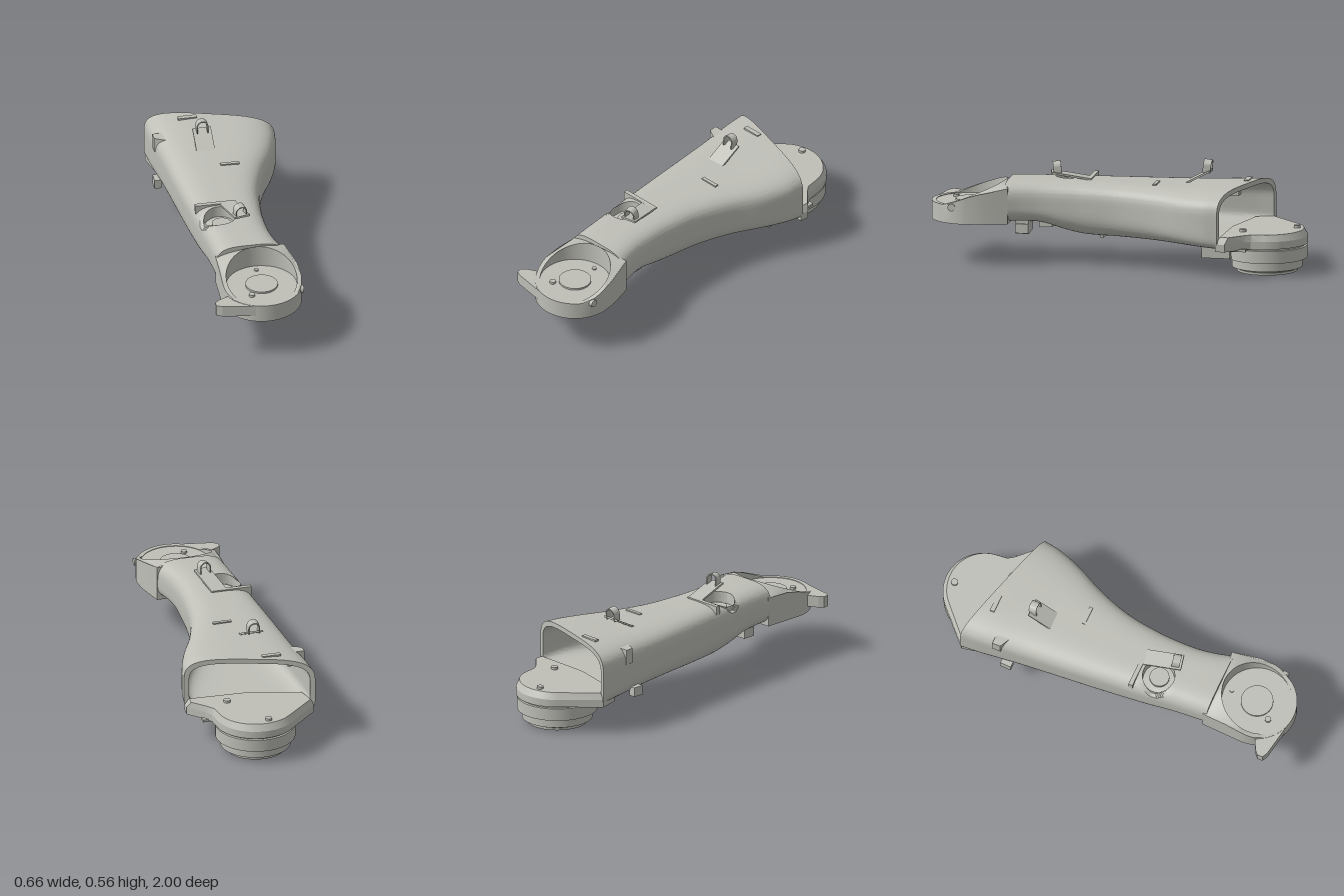
import * as THREE from 'three';
import { toCreasedNormals } from 'three/addons/utils/BufferGeometryUtils.js';

const grey = new THREE.MeshStandardMaterial({ color: 0xbfbfb8 });
grey.name = 'warmGrey';

const SOCKET_Z = 0.79, HUB_Z = -0.785;

// Arm stations: z, left x, right x, bottom y, top y, lower corner exponent
const stations = [
  [0.59, -0.205, 0.165, 0.22, 0.438, 3],
  [0.5, -0.213, 0.138, 0.22, 0.44, 3],
  [0.4, -0.222, 0.12, 0.212, 0.44, 3],
  [0.28, -0.235, 0.115, 0.175, 0.44, 3],
  [0.18, -0.245, 0.118, 0.155, 0.44, 3],
  [0, -0.262, 0.14, 0.153, 0.44, 3.5],
  [-0.2, -0.282, 0.198, 0.153, 0.442, 4],
  [-0.4, -0.303, 0.272, 0.153, 0.445, 5],
  [-0.58, -0.325, 0.32, 0.153, 0.452, 7],
  [-0.675, -0.33, 0.332, 0.153, 0.455, 9],
];

function station(z) {
  let i = 0;
  while (i < stations.length - 2 && z < stations[i + 1][0]) i++;
  const a = stations[i], b = stations[i + 1];
  const t = (a[0] - z) / (a[0] - b[0]);
  const p = stations[Math.max(i - 1, 0)], n = stations[Math.min(i + 2, stations.length - 1)];
  return a.map((v, k) => {
    const h = a[0] - b[0];
    const m0 = ((b[k] - p[k]) / (p[0] - b[0])) * h, m1 = ((n[k] - v) / (a[0] - n[0])) * h;
    const t2 = t * t, t3 = t2 * t;
    return (2 * t3 - 3 * t2 + 1) * v + (t3 - 2 * t2 + t) * m0 + (3 * t2 - 2 * t3) * b[k] + (t3 - t2) * m1;
  });
}

// Hollow arm: outer skin, slanted open rim and inner skin in one loft
function armGeometry() {
  const N = 128, pos = [], idx = [];
  let rings = 0;
  const ring = (z, inset, size = 1) => {
    const [, xl, xr, yb, yt, nb] = station(z);
    const cx = (xl + xr) / 2, hw = (xr - xl) / 2 - inset;
    const cy = 0.31, up = yt - cy - inset, down = cy - yb - inset * 1.8;
    const skew = THREE.MathUtils.smoothstep(-z, 0, 0.675) * 0.29;
    for (let j = 0; j < N; j++) {
      const a = (j / N) * Math.PI * 2, c = Math.cos(a), s = Math.sin(a), n = s > 0 ? 3.6 : nb;
      const r = size / Math.pow(Math.abs(c) ** n + Math.abs(s) ** n, 1 / n);
      let x = cx + hw * r * c, y = cy + (s > 0 ? up : down) * r * s, pz = z + skew * x;
      // Round recess beside the forward clip
      const dx = x + 0.125, dz = pz - 0.28, d = Math.hypot(dx, dz), R = 0.085;
      if (!inset && size === 1 && s > 0.5 && d < R * 1.22 && d > 0.001) {
        if (d < R) y -= 0.06;
        if (d > R * 0.78) {
          const k = (d < R ? R * 0.97 : R) / d;
          x = -0.125 + dx * k;
          pz = 0.28 + dz * k;
        }
      }
      pos.push(x, y, pz);
    }
    rings++;
  };
  ring(0.59, 0, 0);
  for (let i = 0; i <= 110; i++) ring(0.59 - (1.265 * i) / 110, 0);
  for (let i = 0; i <= 30; i++) ring(-0.675 + (0.775 * i) / 30, 0.026);
  ring(0.1, 0.026, 0);
  for (let i = 0; i < rings - 1; i++) for (let j = 0; j < N; j++) {
    const a = i * N + j, b = i * N + ((j + 1) % N), c = a + N, d = b + N;
    idx.push(a, c, b, b, c, d);
  }
  const g = new THREE.BufferGeometry();
  g.setAttribute('position', new THREE.Float32BufferAttribute(pos, 3));
  g.setIndex(idx);
  return toCreasedNormals(g, 0.6);
}

// Flat slab from a plan outline of [x, z] points
function slab(points, y0, y1, hole) {
  const shape = new THREE.Shape(points.map(([x, z]) => new THREE.Vector2(x, -z)));
  if (hole) shape.holes.push(new THREE.Path().absarc(hole[0], -hole[1], hole[2], 0, Math.PI * 2));
  const g = new THREE.ExtrudeGeometry(shape, { depth: y1 - y0, bevelEnabled: false, curveSegments: 36 });
  return g.rotateX(-Math.PI / 2).translate(0, y0, 0);
}

// Plan arc around x = 0, angles in degrees measured from +x towards +z
function arc(cz, r, from, to, steps = 40) {
  return Array.from({ length: steps + 1 }, (_, i) => {
    const a = THREE.MathUtils.degToRad(from + ((to - from) * i) / steps);
    return [r * Math.cos(a), cz + r * Math.sin(a)];
  });
}

function reshape(g, rule) {
  const p = g.attributes.position, v = new THREE.Vector3();
  for (let i = 0; i < p.count; i++) {
    rule(v.fromBufferAttribute(p, i));
    p.setXYZ(i, v.x, v.y, v.z);
  }
  g.computeVertexNormals();
  return toCreasedNormals(g, 0.5);
}

export function createModel() {
  const model = new THREE.Group();
  model.name = 'armHousing';
  const add = (name, geometry, parent = model) => {
    const mesh = new THREE.Mesh(geometry, grey);
    mesh.name = name;
    parent.add(mesh);
    return mesh;
  };
  // Box given by its limits
  const box = (name, x0, x1, y0, y1, z0, z1) => add(name,
    new THREE.BoxGeometry(x1 - x0, y1 - y0, z1 - z0).translate((x0 + x1) / 2, (y0 + y1) / 2, (z0 + z1) / 2));
  const disc = (name, x, z, r, y0, y1) => add(name,
    new THREE.CylinderGeometry(r, r, y1 - y0, 40).translate(x, (y0 + y1) / 2, z));

  add('arm', armGeometry());

  // Front socket: sloped cup with a floor, open underneath
  const cup = slab([[-0.205, 0.57], [0.162, 0.57], [0.185, 0.65], [0.203, 0.72],
    ...arc(SOCKET_Z, 0.21, 0, 180), [-0.208, 0.7]], 0.222, 0.44, [0, SOCKET_Z, 0.186]);
  add('socket', reshape(cup, (v) => {
    if (v.y < 0.3) return;
    v.y = Math.max(0.318, Math.min(0.436, 0.436 - (v.z - 0.6) * 0.4));
    const edge = Math.abs(v.x) - 0.13;
    if (v.z < 0.76 && edge > 0 && Math.hypot(v.x, v.z - SOCKET_Z) > 0.2) v.y = Math.min(v.y, 0.436 - edge * 0.75);
  }));
  disc('socketFloor', 0, SOCKET_Z, 0.188, 0.285, 0.315);
  disc('socketBoss', 0, SOCKET_Z, 0.085, 0.31, 0.325);
  disc('socketPin', -0.07, 0.885, 0.016, 0.31, 0.328);
  disc('socketPin', 0.0, 0.645, 0.012, 0.31, 0.322);
  for (const a of [0.5, 2.6, 4.4]) {
    disc('socketNub', 0.177 * Math.cos(a), SOCKET_Z + 0.177 * Math.sin(a), 0.018, 0.245, 0.29);
  }
  add('socketTab', slab([[-0.19, 0.865], [-0.25, 0.895], [-0.272, 0.915], [-0.27, 0.945],
    [-0.24, 0.96], [-0.03, 0.995], [-0.13, 0.95]], 0.255, 0.316));
  add('sideKnob', new THREE.CylinderGeometry(0.02, 0.02, 0.02, 20).rotateZ(Math.PI / 2).translate(0.2, 0.31, 0.86));

  // Rear flange with a chamfered upper half
  const outline = [[0.325, -0.57], [0.328, -0.62], [0.25, -0.7], [0.222, -0.74],
    ...arc(HUB_Z, 0.215, -5, -135), [-0.325, -0.765], [-0.3, -0.66], [0, -0.58]];
  add('flange', slab(outline, 0.15, 0.19));
  add('flangeTop', reshape(slab(outline, 0.19, 0.225), (v) => {
    if (v.y < 0.2) return;
    v.x *= 0.94;
    v.z = HUB_Z + (v.z - HUB_Z) * 0.9;
  }));
  disc('flangePin', -0.03, -0.94, 0.018, 0.2, 0.238);
  disc('flangePin', 0.125, -0.68, 0.018, 0.2, 0.238);
  box('flangeLip', -0.215, 0.265, 0.142, 0.156, -0.72, -0.57);

  // Stepped hub below the flange
  const hub = [[0, 0], [0.158, 0], [0.16, 0.014], [0.166, 0.018], [0.166, 0.022], [0.185, 0.024],
    [0.185, 0.072], [0.211, 0.072], [0.211, 0.138], [0.2, 0.14], [0.2, 0.16], [0, 0.16]];
  add('hub', toCreasedNormals(new THREE.LatheGeometry(hub.map(([r, y]) => new THREE.Vector2(r, y)), 72), 0.5)
    .translate(0, 0, HUB_Z));

  // Spring clip: sloping strap, end plate and an upright loop
  const clip = (name, foot, head, width, loopHeight, turn, tilt) => {
    const group = new THREE.Group();
    group.name = name;
    const a = new THREE.Vector3(...foot), b = new THREE.Vector3(...head);
    const strap = add('strap', new THREE.BoxGeometry(width, 0.01, a.distanceTo(b)), group);
    strap.position.copy(a).lerp(b, 0.5);
    strap.lookAt(b);
    const r = 0.031, t = 0.006, leg = loopHeight - r;
    const s = new THREE.Shape();
    s.moveTo(r, 0).lineTo(r, leg).absarc(0, leg, r, 0, Math.PI, false).lineTo(-r, 0);
    s.lineTo(-r + t, 0).lineTo(-r + t, leg).absarc(0, leg, r - t, Math.PI, 0, true).lineTo(r - t, 0);
    const loop = add('loop', toCreasedNormals(new THREE.ExtrudeGeometry(s,
      { depth: 0.042, bevelEnabled: false, curveSegments: 16 }).translate(0, 0, -0.021), 0.5), group);
    loop.position.copy(b).lerp(a, 0.16);
    loop.rotation.set(tilt, turn, 0);
    model.add(group);
  };
  clip('rearClip', [-0.08, 0.438, -0.345], [-0.08, 0.505, -0.47], 0.098, 0.068, 0, -0.12);
  clip('frontClip', [-0.065, 0.44, 0.165], [-0.022, 0.476, 0.37], 0.085, 0.063, 0.2, 0.1);
  box('frontClipBar', -0.237, -0.02, 0.4, 0.447, 0.157, 0.18);
  disc('recessBoss', -0.115, 0.28, 0.052, 0.34, 0.392);

  // Raised ribs on top and pads underneath
  box('topRib', -0.17, -0.07, 0.44, 0.46, -0.673, -0.648);
  box('topRib', -0.03, 0.07, 0.43, 0.448, -0.207, -0.188);
  box('bottomRib', -0.06, 0.04, 0.145, 0.16, 0.08, 0.1);
  box('bottomRib', -0.05, 0.05, 0.145, 0.16, -0.21, -0.19);

  // Side hooks by the rear opening
  add('sideHook', slab([[-0.32, -0.59], [-0.23, -0.59], [-0.23, -0.51], [-0.25, -0.51], [-0.318, -0.545]], 0.34, 0.421));
  box('sideHook', -0.328, -0.29, 0.15, 0.2, -0.54, -0.48);

  // Latch blocks underneath
  box('frontLatch', -0.112, -0.04, 0.15, 0.2, 0.485, 0.555);
  box('frontLatch', -0.042, 0.015, 0.145, 0.235, 0.485, 0.555);
  box('frontLatch', 0.013, 0.03, 0.15, 0.2, 0.485, 0.555);
  box('latchStem', -0.09, 0.02, 0.2, 0.24, 0.49, 0.54);
  box('middleLatch', -0.1, -0.02, 0.185, 0.25, 0.34, 0.43);
  box('middleLatch', 0.02, 0.06, 0.195, 0.25, 0.35, 0.42);
  box('rearLatch', 0.018, 0.073, 0.085, 0.14, -0.6, -0.5);
  box('rearLatch', 0.073, 0.145, 0.08, 0.092, -0.62, -0.49);
  box('rearLatch', 0.143, 0.185, 0.087, 0.14, -0.62, -0.47);
  box('rearLatchPlate', 0.018, 0.185, 0.135, 0.158, -0.62, -0.47);
  return model;
}
